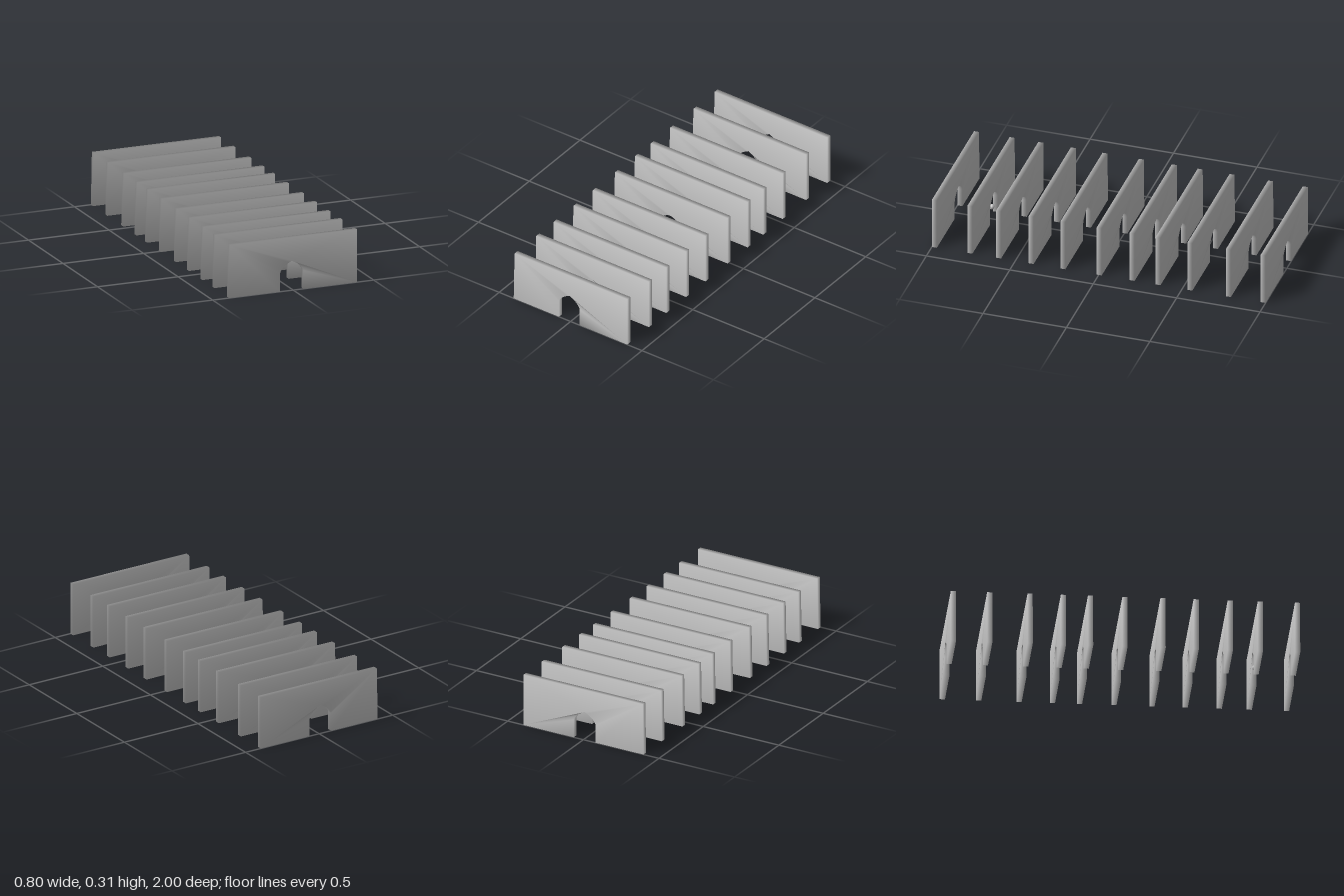
import * as THREE from 'three';
import { mergeVertices } from 'three/addons/utils/BufferGeometryUtils.js';

const THICKNESS = 0.03;
// Uneven spacing of the walls, front to back
const WALL_Z = [0.985, 0.772, 0.6, 0.405, 0.215, -0.003, -0.2, -0.355, -0.546, -0.777, -0.985];

// Wall outline with a pointed doorway cut up from the floor
function wallGeometry() {
  const shape = new THREE.Shape();
  shape.moveTo(-0.398, 0);
  shape.lineTo(-0.081, 0);
  shape.lineTo(-0.081, 0.11);
  shape.quadraticCurveTo(-0.073, 0.145, -0.008, 0.176);
  shape.quadraticCurveTo(0.056, 0.145, 0.064, 0.11);
  shape.lineTo(0.064, 0);
  shape.lineTo(0.397, 0);
  shape.lineTo(0.397, 0.315);
  shape.lineTo(-0.392, 0.315);
  shape.closePath();
  const geo = new THREE.ExtrudeGeometry(shape, { depth: THICKNESS, bevelEnabled: false, curveSegments: 8 });
  geo.translate(0, 0, -THICKNESS / 2);
  // Share corners so the shading runs smoothly across the whole slab
  geo.deleteAttribute('normal');
  geo.deleteAttribute('uv');
  const smooth = mergeVertices(geo, 1e-5);
  smooth.computeVertexNormals();
  return smooth;
}

export function createModel() {
  const model = new THREE.Group();
  model.name = 'archedWalls';
  const material = new THREE.MeshStandardMaterial({ color: 0xcccccc });

  // Row of arched walls
  const geometry = wallGeometry();
  WALL_Z.forEach((z, i) => {
    const wall = new THREE.Mesh(geometry, material);
    wall.name = `wall${i + 1}`;
    wall.position.z = z;
    model.add(wall);
  });

  // Small ball floating in the second doorway
  const ball = new THREE.Mesh(new THREE.SphereGeometry(0.016, 24, 16), material);
  ball.name = 'ball';
  ball.position.set(-0.01, 0.075, WALL_Z[1]);
  model.add(ball);

  return model;
}
